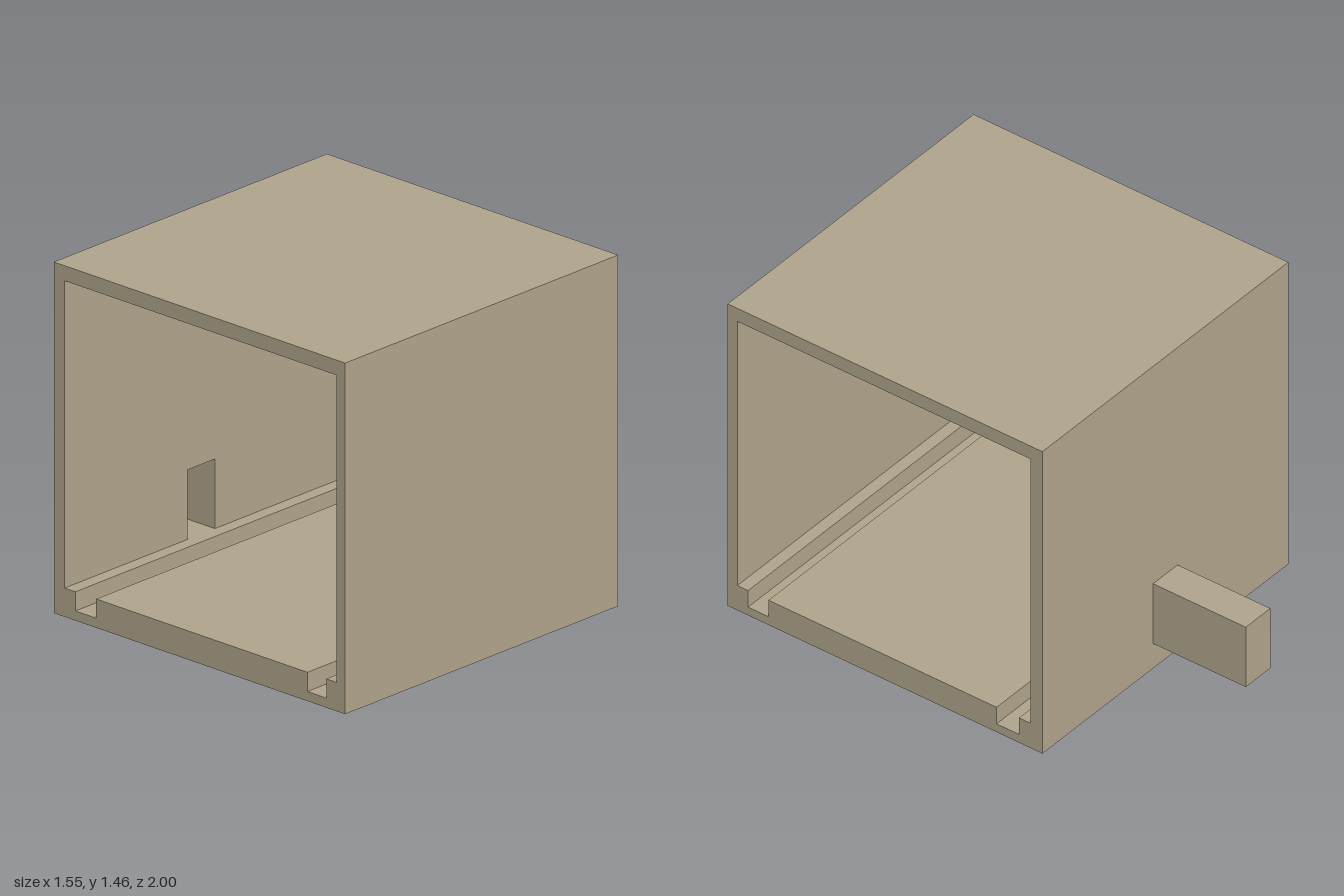
import * as THREE from 'three';

const HALF_W = 0.773, HEIGHT = 1.463;
const FRONT = 1, BACK = -0.545, BACK_IN = -0.487;
const DUCT_HALF = 0.077, DUCT_LOW = 0.12, DUCT_HIGH = 0.41;

export function createModel() {
  const model = new THREE.Group();
  model.name = 'openHousing';
  const tan = new THREE.MeshStandardMaterial({ color: 0xb0a48c });
  tan.name = 'tan';
  const tanSheet = new THREE.MeshStandardMaterial({ color: 0xb0a48c, side: THREE.DoubleSide });
  tanSheet.name = 'tan sheet';

  const add = (name, geometry, material) => {
    const mesh = new THREE.Mesh(geometry, material);
    mesh.name = name;
    model.add(mesh);
  };

  // Floor with two grooves, front wall and roof: a [z, y] section run along x
  const section = [
    [BACK_IN, 0], [BACK_IN, 0.12], [-0.43, 0.12], [-0.43, 0.04], [-0.32, 0.04], [-0.32, 0.12],
    [0.8, 0.12], [0.8, 0.04], [0.9, 0.04], [0.9, 0.12], [0.953, 0.12],
    [0.953, 1.4], [BACK_IN, 1.4], [BACK_IN, HEIGHT], [FRONT, HEIGHT], [FRONT, 0],
  ];
  const shell = new THREE.ExtrudeGeometry(
    new THREE.Shape(section.map(([z, y]) => new THREE.Vector2(-z, y))),
    { depth: 2 * HALF_W, bevelEnabled: false });
  shell.rotateY(Math.PI / 2).translate(-HALF_W, 0, 0);
  add('floorFrontAndRoof', shell, tan);

  // Back wall with the duct opening
  const rect = (x, y0, y1) => [[-x, y0], [x, y0], [x, y1], [-x, y1]].map(p => new THREE.Vector2(...p));
  const wallShape = new THREE.Shape(rect(HALF_W, 0, HEIGHT));
  wallShape.holes.push(new THREE.Path(rect(DUCT_HALF, DUCT_LOW, DUCT_HIGH)));
  const wall = new THREE.ExtrudeGeometry(wallShape, { depth: BACK_IN - BACK, bevelEnabled: false });
  wall.translate(0, 0, BACK);
  add('backWall', wall, tan);

  // Hollow thin duct behind the wall, closed at its far end and open to the inside
  const duct = new THREE.BoxGeometry(2 * DUCT_HALF, DUCT_HIGH - DUCT_LOW, BACK + 1);
  const faces = Array.from(duct.index.array);
  faces.splice(24, 6); // remove the front face
  duct.setIndex(faces);
  duct.clearGroups();
  duct.translate(0, (DUCT_LOW + DUCT_HIGH) / 2, (BACK - 1) / 2);
  add('rearDuct', duct, tanSheet);

  return model;
}
